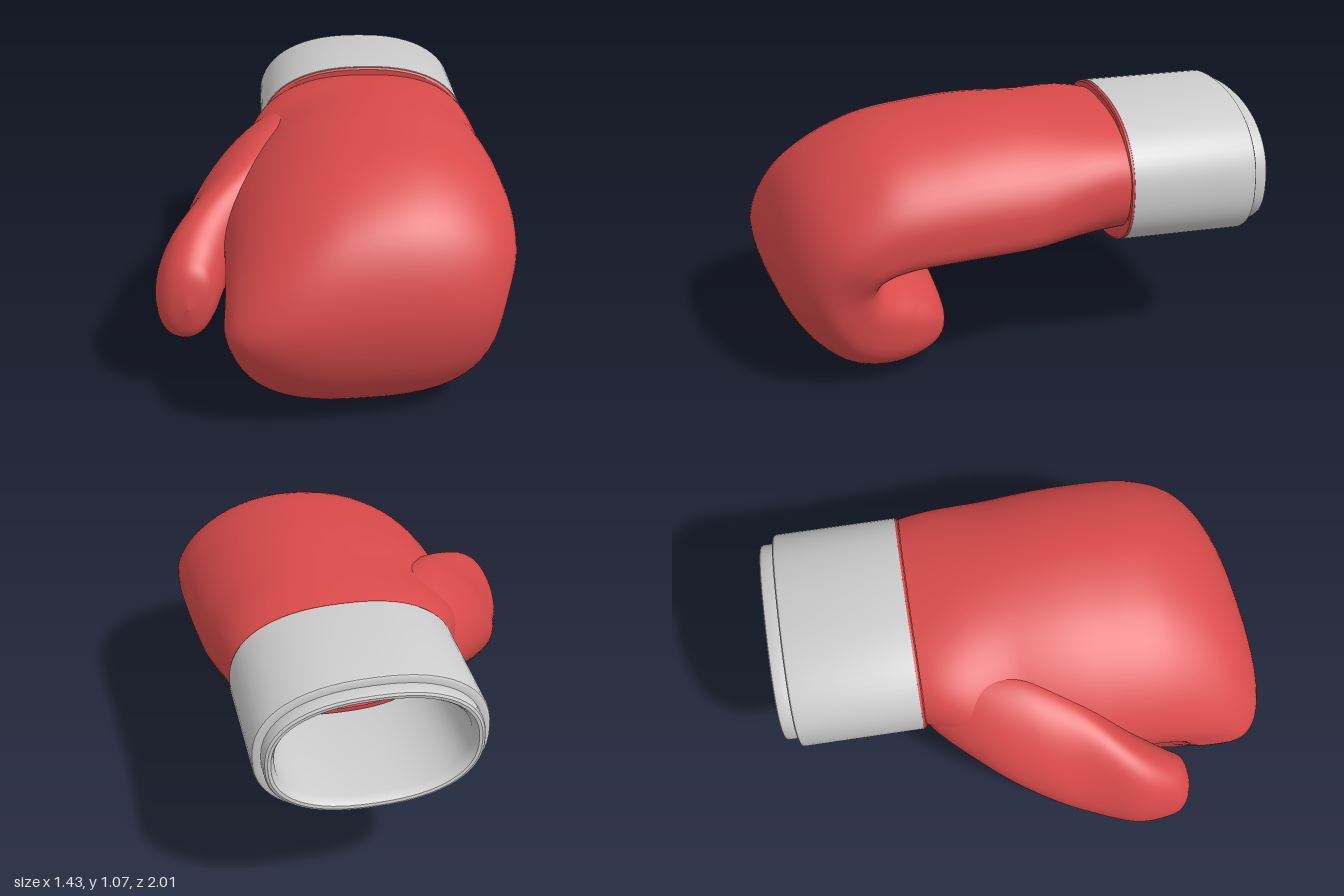
import * as THREE from 'three';
import { toCreasedNormals } from 'three/addons/utils/BufferGeometryUtils.js';

const SIDES = 64;
const { smoothstep } = THREE.MathUtils;
const V = (x, y, z) => new THREE.Vector3(x, y, z);

// Catmull-Rom resampling of rows of numbers
function resample(rows, steps) {
  const out = [];
  const last = rows.length - 1;
  const at = (i) => rows[Math.min(last, Math.max(0, i))];
  for (let i = 0; i < last; i++) {
    for (let s = 0; s < steps; s++) {
      const t = s / steps;
      out.push(at(i).map((b, k) => {
        const a = at(i - 1)[k], c = at(i + 1)[k], d = at(i + 2)[k];
        return 0.5 * (2 * b + (c - a) * t + (2 * a - 5 * b + 4 * c - d) * t * t
          + (3 * b - a - 3 * c + d) * t * t * t);
      }));
    }
  }
  out.push(rows[last]);
  return out;
}

// Skin over superellipse rings: centre c, half axes u and v,
// squareness e on the +v half and f on the -v half
function loft(rings, warp = null) {
  const pos = [], index = [], p = new THREE.Vector3();
  const bend = (n, e) => Math.sign(n) * Math.pow(Math.abs(n), 2 / e);
  for (const { c, u, v, e, f = e } of rings) {
    for (let i = 0; i < SIDES; i++) {
      const a = (i / SIDES) * Math.PI * 2;
      const k = Math.sin(a) > 0 ? e : f;
      p.copy(c).addScaledVector(u, bend(Math.cos(a), k)).addScaledVector(v, bend(Math.sin(a), k));
      if (warp) warp(p);
      pos.push(p.x, p.y, p.z);
    }
  }
  for (let r = 0; r < rings.length - 1; r++) {
    for (let i = 0; i < SIDES; i++) {
      const j = (i + 1) % SIDES;
      const a = r * SIDES + i, b = r * SIDES + j, c = a + SIDES, d = b + SIDES;
      index.push(a, b, c, b, d, c);
    }
  }
  const geo = new THREE.BufferGeometry();
  geo.setAttribute('position', new THREE.Float32BufferAttribute(pos, 3));
  geo.setIndex(index);
  geo.computeVertexNormals();
  return geo;
}

// Oval band around the wrist from a profile of [inset, z]
function band(profile) {
  const rings = profile.map(([inset, z]) => ({
    c: V(0.18, 0.755, z), u: V(0.453 - inset, 0, 0), v: V(0, inset - 0.295, 0), e: 2.35,
  }));
  return toCreasedNormals(loft(rings), 0.6);
}

export function createModel() {
  const group = new THREE.Group();
  const red = new THREE.MeshStandardMaterial({ color: 0xd94a4a, side: THREE.DoubleSide });
  const grey = new THREE.MeshStandardMaterial({ color: 0xcccccc });
  const add = (name, geo, mat) => {
    const mesh = new THREE.Mesh(geo, mat);
    mesh.name = name;
    group.add(mesh);
  };

  // Padded fist curling over: outer z, y, inner z, y, right x, left x,
  // outer squareness, palm squareness
  const fist = resample([
    [-0.45, 1.01, -0.45, 0.53, -0.25, 0.62, 2.35, 2.35],
    [-0.2, 1.05, -0.2, 0.53, -0.36, 0.66, 2.35, 2.7],
    [0.05, 1.07, 0.05, 0.54, -0.43, 0.69, 2.4, 3.1],
    [0.3, 1.06, 0.25, 0.55, -0.45, 0.705, 2.45, 3.4],
    [0.62, 1.0, 0.43, 0.55, -0.43, 0.71, 2.6, 3.6],
    [0.9, 0.82, 0.52, 0.53, -0.43, 0.7, 2.7, 3.6],
    [1.01, 0.53, 0.56, 0.48, -0.435, 0.66, 2.8, 3.6],
    [0.955, 0.25, 0.54, 0.44, -0.41, 0.63, 2.7, 3.4],
    [0.785, 0.065, 0.48, 0.42, -0.37, 0.59, 2.6, 3.2],
    [0.56, 0, 0.4, 0.39, -0.33, 0.54, 2.5, 3],
    [0.38, 0.035, 0.32, 0.33, -0.29, 0.48, 2.5, 2.8],
    [0.29, 0.12, 0.28, 0.25, -0.21, 0.38, 2.5, 2.5],
    [0.27, 0.18, 0.27, 0.18, 0.09, 0.09, 2.5, 2.5],
  ], 8).map(([oz, oy, iz, iy, x0, x1, e, f]) => ({
    c: V((x0 + x1) / 2, (oy + iy) / 2, (oz + iz) / 2),
    u: V((x1 - x0) / 2, 0, 0),
    v: V(0, (oy - iy) / 2, (oz - iz) / 2),
    e, f,
  }));
  // The back of the hand is domed, the knuckles slant back to the left
  add('fist', loft(fist, (p) => {
    p.y -= 0.5 * (p.x - 0.25) ** 2 * smoothstep(p.z, -0.4, 0) * smoothstep(p.y, 0.2, 0.9);
    p.z -= 0.12 * (p.x + 0.1) * smoothstep(p.z, 0.4, 1);
  }), red);

  // Thumb beside the fist: centre x, y, z, half width, half thickness, lean
  const thumb = resample([
    [-0.05, 0.77, -0.43, 0.02, 0.02, 0.8],
    [-0.06, 0.77, -0.42, 0.2, 0.14, 0.8],
    [-0.23, 0.725, -0.2, 0.25, 0.16, 0.78],
    [-0.335, 0.67, 0, 0.295, 0.165, 0.7],
    [-0.435, 0.58, 0.2, 0.295, 0.155, 0.58],
    [-0.545, 0.49, 0.4, 0.245, 0.145, 0.38],
    [-0.577, 0.43, 0.55, 0.185, 0.122, 0.22],
    [-0.575, 0.415, 0.62, 0.125, 0.085, 0.2],
    [-0.575, 0.41, 0.65, 0, 0, 0.2],
  ], 8).map(([x, y, z, w, t, lean]) => ({
    c: V(x, y, z),
    u: V(Math.sin(lean) * w, Math.cos(lean) * w, 0),
    v: V(-Math.cos(lean) * t, Math.sin(lean) * t, 0),
    e: 2.15,
  }));
  add('thumb', loft(thumb), red);

  // Red piping where the fist meets the cuff
  add('piping', band([
    [0.09, -0.42], [0.01, -0.415], [0.002, -0.42], [0.002, -0.435],
  ]), red);

  // Hollow cuff with a stepped lip at the opening
  add('cuff', band([
    [0.08, -0.43], [0, -0.43], [0, -0.925], [0.004, -0.935], [0.012, -0.94], [0.035, -0.94],
    [0.035, -0.985], [0.04, -0.995], [0.05, -1], [0.062, -0.998], [0.07, -0.985],
    [0.08, -0.96], [0.08, -0.43],
  ]), grey);

  return group;
}
